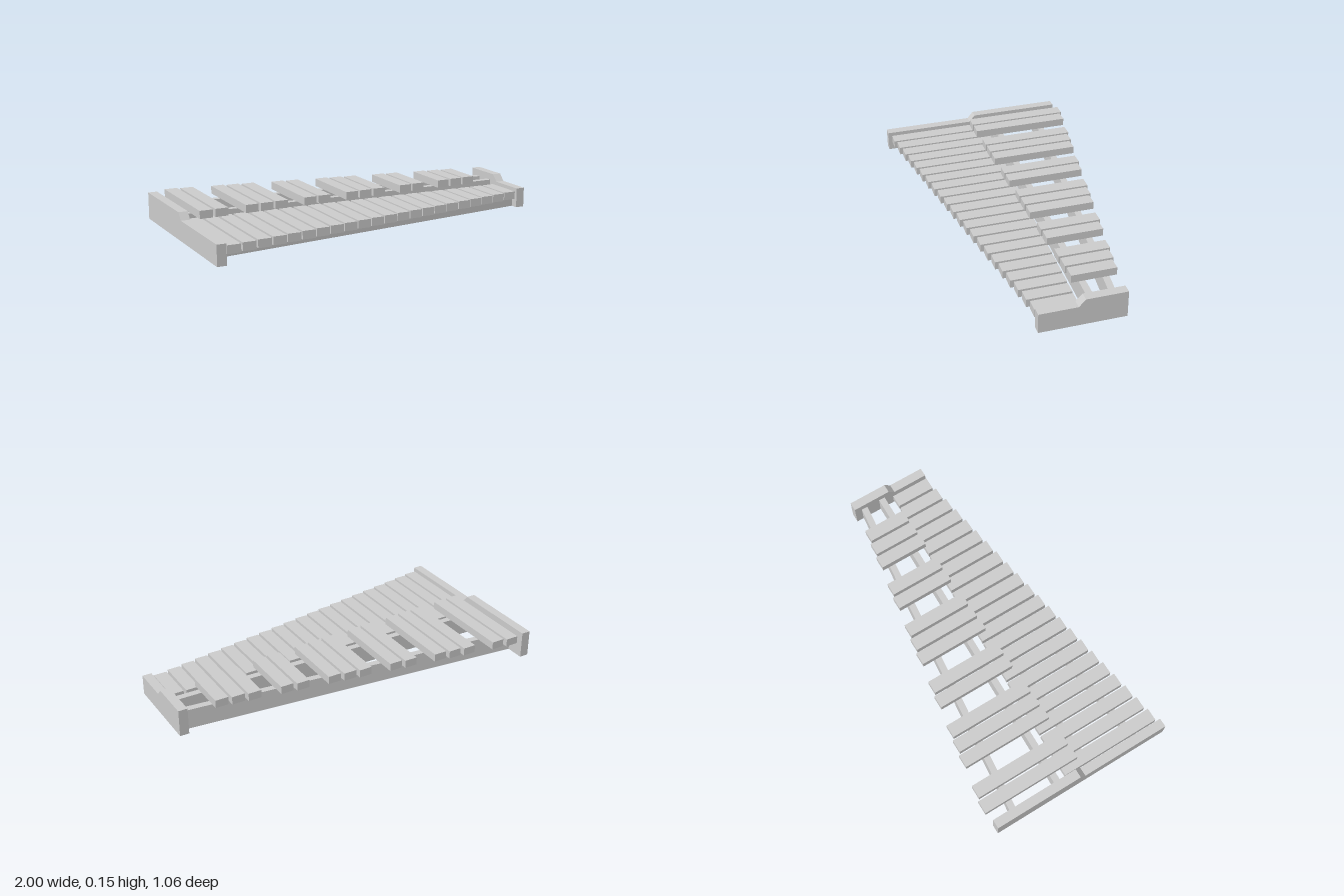
import * as THREE from 'three';

const material = new THREE.MeshStandardMaterial({ color: 0xcccccc, flatShading: true });

function add(parent, name, geometry) {
  const mesh = new THREE.Mesh(geometry, material);
  mesh.name = name;
  parent.add(mesh);
  return mesh;
}

// Box spanning z0..z1 (back to front) and y0..y1, centred on x
function bar(parent, name, x, width, y0, y1, z0, z1) {
  const mesh = add(parent, name, new THREE.BoxGeometry(width, y1 - y0, z1 - z0));
  mesh.position.set(x, (y0 + y1) / 2, (z0 + z1) / 2);
}

// End board: low at the front, stepping up a short slope to the back
function endBoard(parent, name, x0, back, front, slopeBack, slopeFront) {
  const profile = new THREE.Shape([
    [-front, 0], [-back, 0], [-back, 0.148], [-slopeBack, 0.148], [-slopeFront, 0.11], [-front, 0.11],
  ].map(([a, b]) => new THREE.Vector2(a, b)));
  const geometry = new THREE.ExtrudeGeometry(profile, { depth: 0.05, bevelEnabled: false });
  geometry.rotateY(Math.PI / 2);
  add(parent, name, geometry).position.x = x0;
}

// Slanted rail between the end boards, given its centre z at each end
function rail(parent, name, zLeft, zRight, height) {
  const h = 0.018, x = 0.952;
  const plan = new THREE.Shape([
    [-x, -zLeft - h], [x, -zRight - h], [x, -zRight + h], [-x, -zLeft + h],
  ].map(([a, b]) => new THREE.Vector2(a, b)));
  const geometry = new THREE.ExtrudeGeometry(plan, { depth: height, bevelEnabled: false });
  geometry.rotateX(-Math.PI / 2);
  add(parent, name, geometry);
}

export function createModel() {
  const model = new THREE.Group();
  model.name = 'glockenspiel';

  // Frame
  const frame = new THREE.Group();
  frame.name = 'frame';
  model.add(frame);
  endBoard(frame, 'longEndBoard', -1, -0.515, 0.53, -0.01, 0.022);
  endBoard(frame, 'shortEndBoard', 0.95, -0.257, 0.202, -0.037, -0.002);
  rail(frame, 'upperBackRail', -0.395, -0.198, 0.11);
  rail(frame, 'upperFrontRail', -0.12, -0.085, 0.11);
  rail(frame, 'lowerBackRail', 0.08, 0.033, 0.05);
  rail(frame, 'lowerFrontRail', 0.372, 0.142, 0.05);

  // Lower row of tone bars, shortening evenly
  const x0 = -0.904, step = 0.086, width = 0.072;
  const lower = new THREE.Group();
  lower.name = 'lowerBars';
  model.add(lower);
  for (let i = 0; i < 22; i++) {
    bar(lower, 'lowerBar', x0 + step * i, width, 0.05, 0.094, -0.063 + 0.0021 * i, 0.51 - 0.0147 * i);
  }

  // Upper row in groups of two and three, set between the lower bars
  const upper = new THREE.Group();
  upper.name = 'upperBars';
  model.add(upper);
  for (const i of [0, 1, 3, 4, 5, 7, 8, 10, 11, 12, 14, 15, 17, 18, 19]) {
    bar(upper, 'upperBar', x0 + step * (i + 0.45), width, 0.11, 0.153, -0.53 + 0.0136 * i, 0.033 - 0.0033 * i);
  }
  return model;
}
